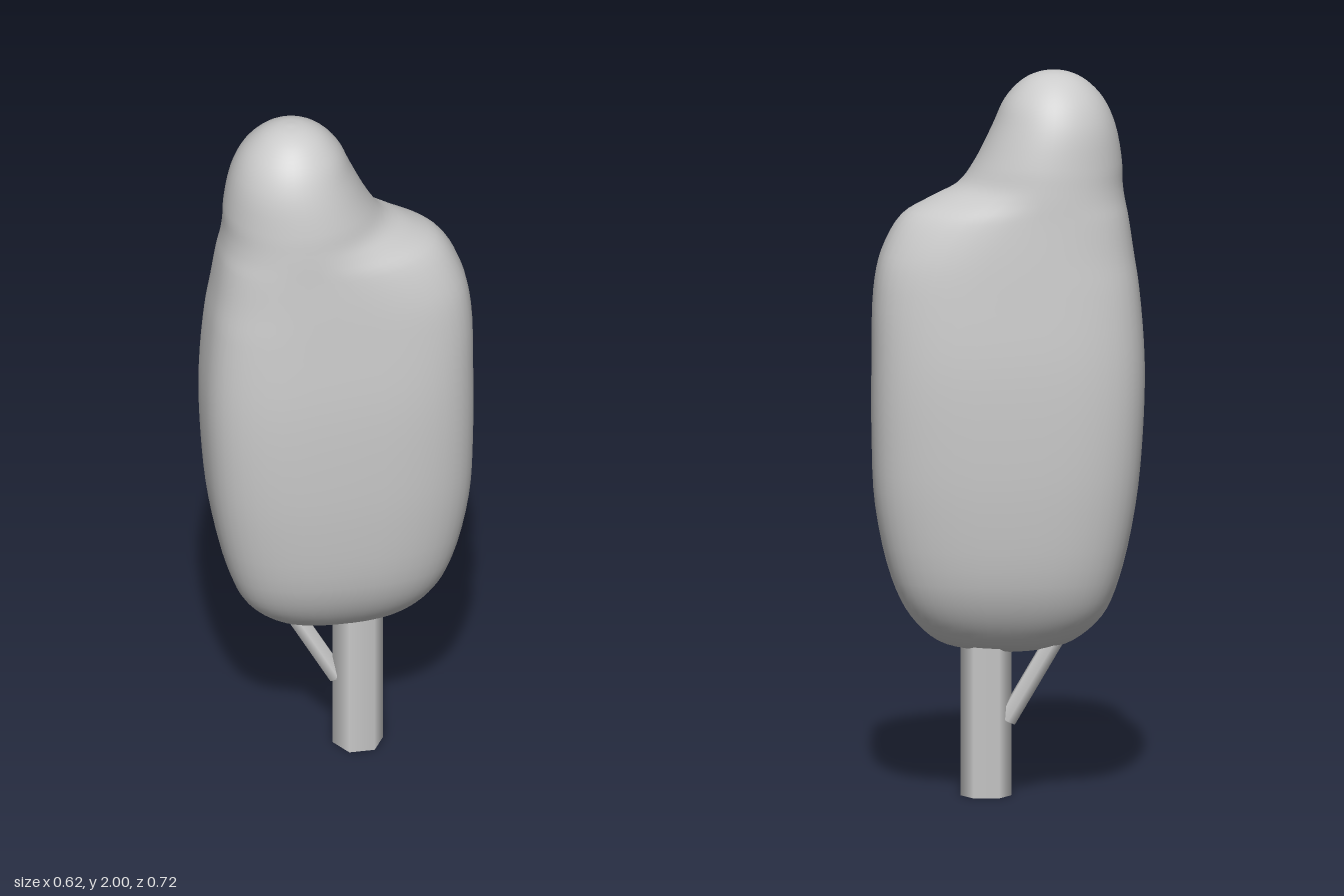
import * as THREE from 'three';

const material = new THREE.MeshStandardMaterial({ color: 0xcccccc });

// Horizontal directions along and across the crown
const ANGLE = 0.977;
const along = new THREE.Vector3(Math.cos(ANGLE), 0, -Math.sin(ANGLE));
const across = new THREE.Vector3(-Math.sin(ANGLE), 0, -Math.cos(ANGLE));

// Crown sections: height, centre, reach to the tall end, reach to the shoulder end,
// half width, roundness exponent of each end
const SECTIONS = [
  [0.395, -0.01, 0, 0, 0, 2, 2],
  [0.405, -0.01, 0.1, 0.1, 0.04, 2.2, 2.2],
  [0.43, -0.01, 0.18, 0.19, 0.085, 2.4, 2.4],
  [0.5, -0.01, 0.26, 0.265, 0.14, 2.6, 2.6],
  [0.6, -0.01, 0.305, 0.315, 0.18, 2.7, 2.7],
  [0.8, -0.01, 0.35, 0.36, 0.21, 2.8, 2.8],
  [1.0, -0.01, 0.37, 0.37, 0.223, 2.9, 2.9],
  [1.2, -0.01, 0.375, 0.37, 0.226, 2.9, 2.9],
  [1.4, -0.03, 0.34, 0.385, 0.216, 2.8, 2.8],
  [1.5, -0.05, 0.305, 0.385, 0.21, 2.6, 2.6],
  [1.6, -0.08, 0.26, 0.36, 0.203, 2.4, 2.2],
  [1.65, -0.1, 0.23, 0.3, 0.2, 2.2, 1.9],
  [1.69, -0.11, 0.215, 0.235, 0.197, 2.1, 1.9],
  [1.75, -0.12, 0.203, 0.2, 0.191, 2, 2],
  [1.85, -0.135, 0.17, 0.165, 0.17, 2, 2],
  [1.92, -0.137, 0.137, 0.135, 0.137, 2, 2],
  [1.97, -0.137, 0.09, 0.09, 0.09, 2, 2],
  [1.993, -0.137, 0.045, 0.045, 0.045, 2, 2],
  [2.0, -0.137, 0, 0, 0, 2, 2],
];

const power = (value, n) => Math.sign(value) * Math.pow(Math.abs(value), 2 / n);

function sectionPoint([y, centre, tallReach, shoulderReach, width, tallN, shoulderN], t) {
  const c = Math.cos(t);
  const s = Math.sin(t);
  const n = c < 0 ? tallN : shoulderN;
  const reach = c < 0 ? tallReach : shoulderReach;
  return new THREE.Vector3(0, y, 0)
    .addScaledVector(along, centre + reach * power(c, n))
    .addScaledVector(across, width * power(s, n));
}

// Smooth skin: one vertical curve per angle, joined into a closed surface
function crownGeometry(columns = 48, perSection = 4) {
  const rows = (SECTIONS.length - 1) * perSection;
  const positions = [];
  const index = [];
  for (let j = 0; j < columns; j++) {
    const t = (j / columns) * Math.PI * 2;
    const curve = new THREE.CatmullRomCurve3(SECTIONS.map((s) => sectionPoint(s, t)));
    for (const p of curve.getPoints(rows)) positions.push(p.x, p.y, p.z);
  }
  for (let j = 0; j < columns; j++) {
    for (let i = 0; i < rows; i++) {
      const a = j * (rows + 1) + i;
      const b = ((j + 1) % columns) * (rows + 1) + i;
      if (i > 0) index.push(a, b, b + 1);
      if (i < rows - 1 || i === 0) index.push(a, b + 1, a + 1);
    }
  }
  const geometry = new THREE.BufferGeometry();
  geometry.setAttribute('position', new THREE.Float32BufferAttribute(positions, 3));
  geometry.setIndex(index);
  geometry.computeVertexNormals();
  // Poles point straight down and up
  const normals = geometry.attributes.normal;
  for (let j = 0; j < columns; j++) {
    normals.setXYZ(j * (rows + 1), 0, -1, 0);
    normals.setXYZ(j * (rows + 1) + rows, 0, 1, 0);
  }
  return geometry;
}

// Straight round limb between two points
function limb(name, from, to, radius, sides) {
  const direction = to.clone().sub(from);
  const geometry = new THREE.CylinderGeometry(radius, radius, direction.length(), sides);
  const mesh = new THREE.Mesh(geometry, material);
  mesh.name = name;
  mesh.position.copy(from).add(to).multiplyScalar(0.5);
  mesh.quaternion.setFromUnitVectors(new THREE.Vector3(0, 1, 0), direction.normalize());
  return mesh;
}

export function createModel() {
  const tree = new THREE.Group();
  tree.name = 'tree';

  // Tall leafy crown with a lower shoulder at the back
  const crown = new THREE.Mesh(crownGeometry(), material);
  crown.name = 'crown';
  tree.add(crown);

  // Six-sided trunk with corners turned along the crown
  const trunk = limb('trunk', new THREE.Vector3(0.03, 0, -0.037), new THREE.Vector3(0.03, 0.6, -0.037), 0.07, 6);
  trunk.rotateY(ANGLE + Math.PI / 2);
  tree.add(trunk);

  // Side branch rising into the crown
  tree.add(limb('branch', new THREE.Vector3(-0.01, 0.21, 0.005), new THREE.Vector3(-0.13, 0.52, 0.14), 0.027, 6));

  return tree;
}
